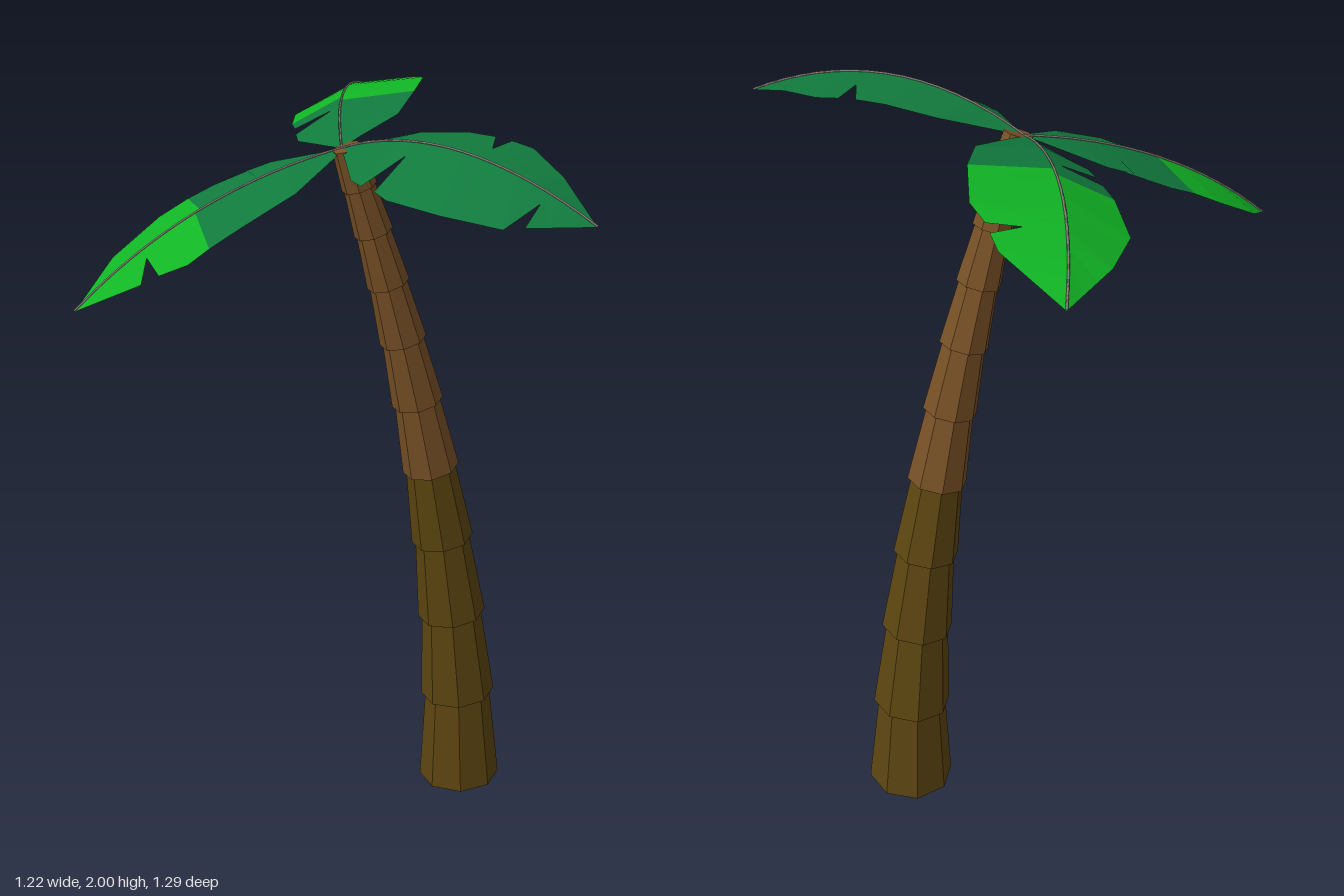
import * as THREE from 'three';

const material = (name, color, side = THREE.FrontSide) => {
  const m = new THREE.MeshStandardMaterial({ color, side });
  m.name = name;
  return m;
};

function flatMesh(name, geometry, mat) {
  geometry.computeVertexNormals();
  const mesh = new THREE.Mesh(geometry, mat);
  mesh.name = name;
  return mesh;
}

// Lift an [x, z] outline off the midrib: each point gets its nearest rib position
// (never running backwards, so notches stay open) and rises or drops with distance from it.
function liftEdge(rib, outline, slope) {
  let last = 0;
  const points = outline.map(([x, z]) => {
    let best = 0, distance = Infinity;
    for (let i = 0; i <= 100; i++) {
      const p = rib.getPoint(i / 100);
      const d = Math.hypot(p.x - x, p.z - z);
      if (d < distance) [best, distance] = [i / 100, d];
    }
    const y = rib.getPoint(best).y + slope * distance;
    last = Math.max(last, best);
    return { t: last, p: new THREE.Vector3(x, y, z) };
  });
  return [{ t: 0, p: rib.v0 }, ...points, { t: 1, p: rib.v2 }];
}

// Leaf surface between the midrib and a stretch of lifted edge
function panel(name, rib, edge, mat) {
  const steps = 3, points = [];
  for (let i = 0; i < edge.length - 1; i++) {
    const a = edge[i], b = edge[i + 1];
    const at = (s) => [rib.getPoint(THREE.MathUtils.lerp(a.t, b.t, s)), a.p.clone().lerp(b.p, s)];
    for (let k = 0; k < steps; k++) {
      const [r0, e0] = at(k / steps), [r1, e1] = at((k + 1) / steps);
      points.push(r0, r1, e1, r0, e1, e0);
    }
  }
  return flatMesh(name, new THREE.BufferGeometry().setFromPoints(points), mat);
}

// A leaf of two halves; split gives the edge index on each half where the bright outer part begins
function leaf(name, mats, { rib: ribPoints, slopes, outlines, split }) {
  const group = new THREE.Group();
  group.name = name;
  const rib = new THREE.QuadraticBezierCurve3(...ribPoints.map((p) => new THREE.Vector3(...p)));
  ['left', 'right'].forEach((side, i) => {
    const edge = liftEdge(rib, outlines[i], slopes[i]);
    const cut = split ? split[i] : edge.length - 1;
    group.add(panel(side + 'InnerHalf', rib, edge.slice(0, cut + 1), mats.leaf));
    if (split) group.add(panel(side + 'OuterHalf', rib, edge.slice(cut), mats.bright));
  });
  const midrib = new THREE.Mesh(new THREE.TubeGeometry(rib, 16, 0.003, 4), mats.rib);
  midrib.name = 'midrib';
  midrib.position.y = 0.002;
  group.add(midrib);
  return group;
}

// Trunk: joints crowd together towards the top while the stem bends away and thins
const SEGMENTS = 10;
const HEIGHT = 1.912;
function joint(i) {
  const u = i / SEGMENTS;
  const h = 1.5 * u - 0.5 * u * u;
  const bend = h ** 1.865;
  return {
    centre: new THREE.Vector3(0.335 - 0.332 * bend, 0.003 + HEIGHT * h, -0.01 - 0.12 * bend),
    radius: 0.116 - 0.073 * h,
  };
}

function buildTrunk(mats) {
  const trunk = new THREE.Group();
  trunk.name = 'trunk';
  const up = new THREE.Vector3(0, 1, 0);
  for (let i = 0; i < SEGMENTS; i++) {
    const a = joint(i), b = joint(i + 1);
    const axis = b.centre.clone().sub(a.centre);
    const geometry = new THREE.CylinderGeometry(b.radius * 0.88, a.radius, axis.length(), 8).toNonIndexed();
    const segment = flatMesh('trunkSegment' + (i + 1), geometry, i < 4 ? mats.lower : mats.upper);
    segment.position.copy(a.centre).add(b.centre).multiplyScalar(0.5);
    segment.quaternion.setFromUnitVectors(up, axis.normalize());
    trunk.add(segment);
  }
  return trunk;
}

// Crown of three drooping, notched leaves
function buildCrown(mats) {
  const crown = new THREE.Group();
  crown.name = 'crown';
  const base = [0, 1.91, -0.145];
  crown.add(leaf('frontLeaf', mats, {
    rib: [base, [-0.02, 2.055, 0.25], [0.06, 1.84, 0.64]],
    slopes: [-0.62, 0.03],
    outlines: [
      [[-0.13, 0.02], [-0.145, 0.07], [-0.04, 0.125], [-0.155, 0.125], [-0.17, 0.18], [-0.155, 0.34],
        [-0.1, 0.49], [0.01, 0.515], [-0.065, 0.525]],
      [[0.12, 0.02], [0.155, 0.15], [0.17, 0.225], [0.09, 0.285], [0.18, 0.27], [0.19, 0.33], [0.14, 0.47]],
    ],
  }));
  crown.add(leaf('backLeftLeaf', mats, {
    rib: [base, [0.255, 2.048, -0.445], [0.61, 1.915, -0.645]],
    slopes: [-0.56, 0.13],
    outlines: [
      [[0.03, -0.34], [0.065, -0.385], [0.15, -0.34], [0.095, -0.42], [0.135, -0.475], [0.25, -0.585], [0.4, -0.63]],
      [[0.06, -0.145], [0.2, -0.14], [0.335, -0.21], [0.48, -0.315], [0.515, -0.38], [0.47, -0.445],
        [0.535, -0.405], [0.57, -0.45]],
    ],
    split: [5, 3],
  }));
  crown.add(leaf('backRightLeaf', mats, {
    rib: [base, [-0.3375, 1.818, -0.355], [-0.605, 1.535, -0.495]],
    slopes: [-0.08, -0.27],
    outlines: [
      [[-0.065, -0.34], [-0.11, -0.385], [-0.095, -0.375], [-0.165, -0.455], [-0.225, -0.49], [-0.29, -0.53],
        [-0.43, -0.555]],
      [[-0.03, -0.13], [-0.195, -0.11], [-0.34, -0.155], [-0.412, -0.19], [-0.465, -0.21], [-0.505, -0.275],
        [-0.465, -0.37], [-0.53, -0.315]],
    ],
    split: [5, 4],
  }));
  return crown;
}

export function createModel() {
  const mats = {
    lower: material('darkBark', 0x5c4510),
    upper: material('lightBark', 0x775026),
    leaf: material('deepGreen', 0x117a3d, THREE.DoubleSide),
    bright: material('brightGreen', 0x11b525, THREE.DoubleSide),
    rib: material('midribGrey', 0x8a7d7a),
  };
  const palm = new THREE.Group();
  palm.name = 'palmTree';
  palm.add(buildTrunk(mats), buildCrown(mats));
  return palm;
}
